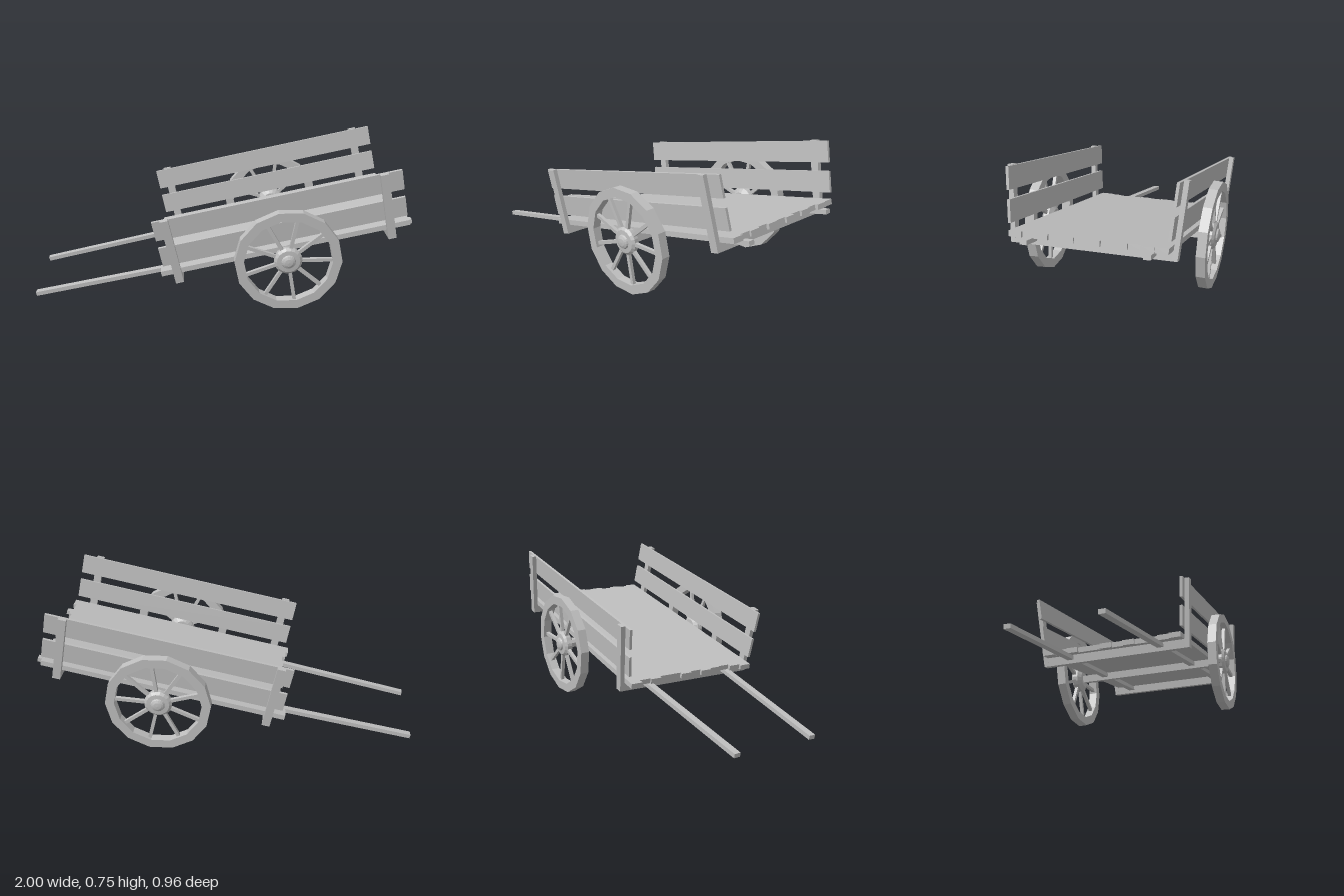
import * as THREE from 'three';

const wood = new THREE.MeshStandardMaterial({ color: 0xbfbfbf, flatShading: true });
wood.name = 'greyWood';

const LEAN = 0.085; // outward lean of the sides
const RIM_SIDES = 14;
const SPOKES = 9;

function part(name, geometry, parent) {
  const mesh = new THREE.Mesh(geometry, wood);
  mesh.name = name;
  parent.add(mesh);
  return mesh;
}

function box(name, size, pos, parent) {
  const mesh = part(name, new THREE.BoxGeometry(...size), parent);
  mesh.position.set(...pos);
  return mesh;
}

function lathe(points, sides) {
  const profile = points.map(([r, y]) => new THREE.Vector2(r, y));
  return new THREE.LatheGeometry(profile, sides).rotateX(Math.PI / 2);
}

// Floor: one slab whose plank ends are slightly uneven
function deckGeometry() {
  const rear = [-0.318, -0.292, -0.302, -0.285, -0.285, -0.3, -0.288, -0.302, -0.29, -0.284, -0.302, -0.316];
  const front = [0.985, 0.992, 0.975, 0.988, 0.976, 0.994, 0.982, 0.99, 0.974, 0.988, 0.978, 0.994];
  const n = rear.length, half = 0.376, w = (2 * half) / n;
  const pts = [];
  front.forEach((x, i) => {
    pts.push(new THREE.Vector2(x, -half + i * w), new THREE.Vector2(x, -half + (i + 1) * w));
  });
  for (let i = n - 1; i >= 0; i--) {
    pts.push(new THREE.Vector2(rear[i], -half + (i + 1) * w), new THREE.Vector2(rear[i], -half + i * w));
  }
  const geo = new THREE.ExtrudeGeometry(new THREE.Shape(pts), { depth: 0.027, bevelEnabled: false });
  return geo.rotateX(Math.PI / 2);
}

// Wheel around the z axis, outside facing +z
function makeWheel() {
  const wheel = new THREE.Group();
  wheel.name = 'wheel';
  const h = 0.0235, ro = 0.276, ri = 0.228;
  part('rim', lathe([[ri, -h], [ro, -h], [ro, h], [ri, h], [ri, -h]], RIM_SIDES), wheel);
  part('hub', lathe([
    [0, -0.035], [0.045, -0.035], [0.07, -0.018], [0.073, 0.008], [0.06, 0.02],
    [0.037, 0.022], [0.033, 0.03], [0.02, 0.036], [0, 0.038],
  ], 18), wheel);
  for (let i = 0; i < SPOKES; i++) {
    const a = THREE.MathUtils.degToRad(68 + (i * 360) / SPOKES);
    const spoke = box('spoke', [0.19, 0.018, 0.018], [Math.cos(a) * 0.145, Math.sin(a) * 0.145, 0], wheel);
    spoke.rotation.z = a;
  }
  return wheel;
}

export function createModel() {
  const model = new THREE.Group();
  model.name = 'handcart';

  // Everything is laid out level, then tipped so the handles touch the ground
  const cart = new THREE.Group();
  cart.name = 'tippedCart';
  cart.position.y = 0.224;
  cart.rotation.z = 0.208;
  model.add(cart);

  part('deck', deckGeometry(), cart).position.y = 0.042;

  // Cross beams and axle
  box('rearCrossBeam', [0.04, 0.046, 0.8], [-0.23, -0.007, 0], cart);
  box('frontCrossBeam', [0.04, 0.046, 0.8], [0.89, -0.007, 0], cart);
  box('axle', [0.04, 0.04, 0.84], [0.341, -0.007, 0], cart);

  for (const side of [1, -1]) {
    // Long shafts, closer together at the handles
    const shaft = box('shaft', [2.04, 0.022, 0.034], [0, 0, side * 0.256], cart);
    shaft.rotation.y = -side * 0.0333;

    // Posts lean outwards
    for (const x of [-0.23, 0.89]) {
      const v = 0.153;
      const post = box('sidePost', [0.042, 0.364, 0.024], [x, v, side * (0.39 + LEAN * v)], cart);
      post.rotation.x = side * LEAN;
    }

    // Two boards inside the posts
    for (const v of [0.128, 0.279]) {
      const board = box('sideBoard', [1.28, 0.108, 0.014], [0.344, v, side * (0.371 + LEAN * v)], cart);
      board.rotation.x = side * LEAN;
    }

    // Cambered wheel
    const mount = new THREE.Group();
    mount.name = side > 0 ? 'frontWheel' : 'backWheel';
    mount.position.set(0.341, -0.007, side * 0.444);
    if (side < 0) mount.rotation.y = Math.PI;
    const wheel = makeWheel();
    wheel.rotation.x = 0.037;
    mount.add(wheel);
    cart.add(mount);
  }
  return model;
}
